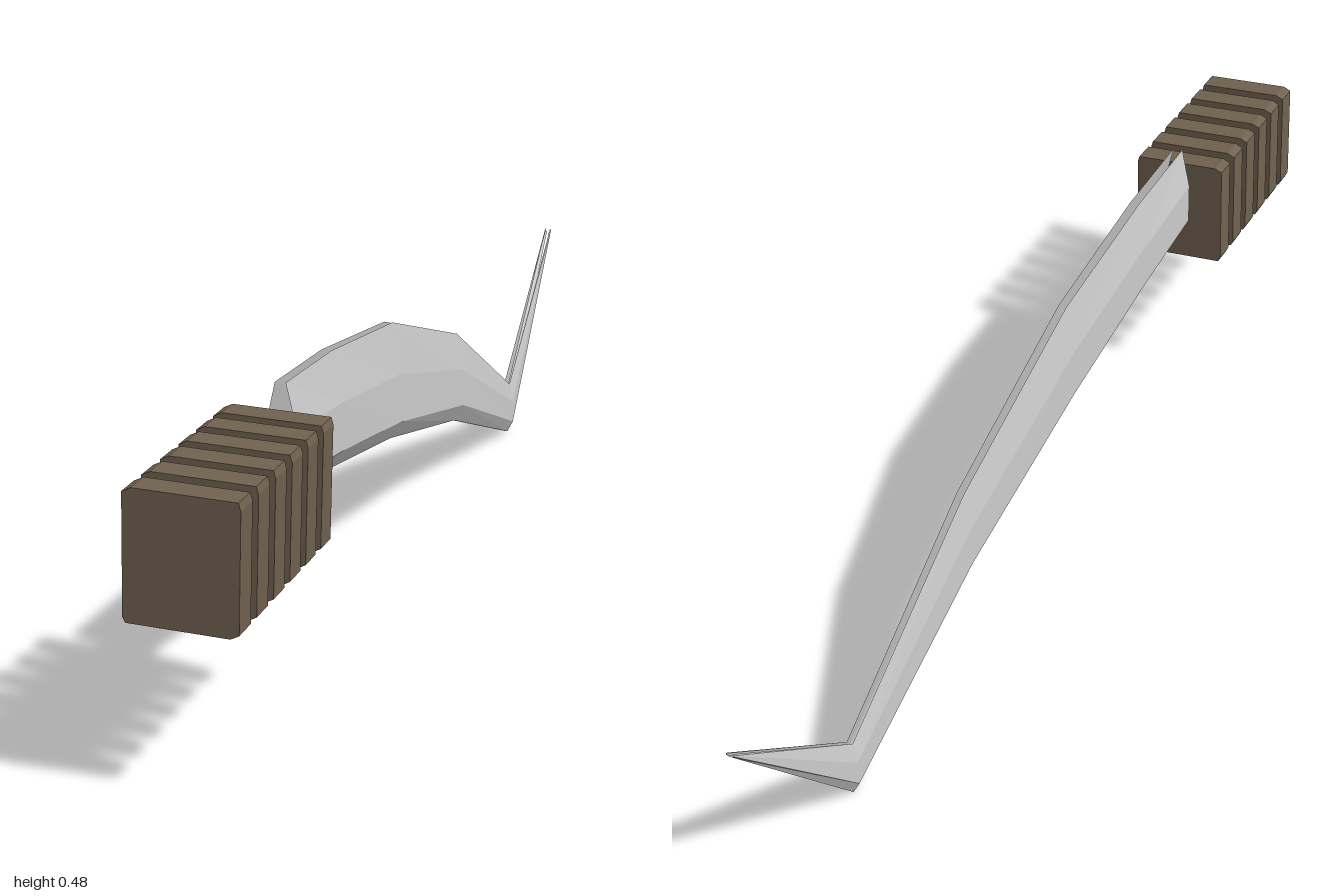
import * as THREE from 'three';

// Blade stations from guard to hook tip: z, top y, shoulder y, bevel y, edge y, half widths (top, shoulder, bevel, edge)
const STATIONS = [
  [0.615, 0.48, 0.41, 0.34, 0.31, 0.008, 0.024, 0.025, 0.003],
  [0.41, 0.47, 0.39, 0.315, 0.285, 0.008, 0.023, 0.024, 0.003],
  [0.10, 0.43, 0.345, 0.265, 0.235, 0.007, 0.021, 0.023, 0.003],
  [-0.29, 0.305, 0.24, 0.175, 0.145, 0.006, 0.017, 0.019, 0.002],
  [-0.675, 0.10, 0.065, 0.025, 0.004, 0.005, 0.012, 0.013, 0.002],
  [-0.995, 0.333, 0.331, 0.329, 0.327, 0.004, 0.006, 0.006, 0.002],
];

// One open half of the blade; side is +1 for left, -1 for right
function bladeHalf(side, material) {
  const points = [];
  const index = [];
  STATIONS.forEach((s, i) => {
    for (let k = 0; k < 4; k++) {
      points.push(side * s[5 + k], s[1 + k], s[0]);
      if (i === STATIONS.length - 1 || k === 3) continue;
      const a = i * 4 + k, b = a + 1, c = a + 4, d = a + 5;
      if (side > 0) index.push(a, b, d, a, d, c);
      else index.push(a, d, b, a, c, d);
    }
  });
  const indexed = new THREE.BufferGeometry();
  indexed.setAttribute('position', new THREE.Float32BufferAttribute(points, 3));
  indexed.setIndex(index);
  const geometry = indexed.toNonIndexed();
  geometry.computeVertexNormals();
  const mesh = new THREE.Mesh(geometry, material);
  mesh.name = side > 0 ? 'bladeLeft' : 'bladeRight';
  return mesh;
}

export function createModel() {
  const model = new THREE.Group();
  model.name = 'hookedSword';

  const metal = new THREE.MeshStandardMaterial({
    color: 0xcccccc, flatShading: true, side: THREE.DoubleSide,
  });
  const leather = new THREE.MeshStandardMaterial({ color: 0x716250, flatShading: true });

  // Blade: two thin shells with a narrow slit between them
  const blade = new THREE.Group();
  blade.name = 'blade';
  blade.add(bladeHalf(1, metal), bladeHalf(-1, metal));
  model.add(blade);

  // Grip: six separate slabs, slightly skewed with clipped corners
  const outline = [
    [-0.084, 0.268], [-0.08, 0.26], [0.065, 0.254], [0.077, 0.26],
    [0.083, 0.43], [0.08, 0.441], [-0.066, 0.447], [-0.079, 0.441],
  ].map(([x, y]) => new THREE.Vector2(x, y));
  const slab = new THREE.ExtrudeGeometry(new THREE.Shape(outline), {
    depth: 0.043, bevelEnabled: false,
  });
  const grip = new THREE.Group();
  grip.name = 'grip';
  for (let i = 0; i < 6; i++) {
    const band = new THREE.Mesh(slab, leather);
    band.name = `gripBand${i + 1}`;
    band.position.z = 0.63 + i * 0.0654;
    grip.add(band);
  }
  model.add(grip);

  return model;
}
